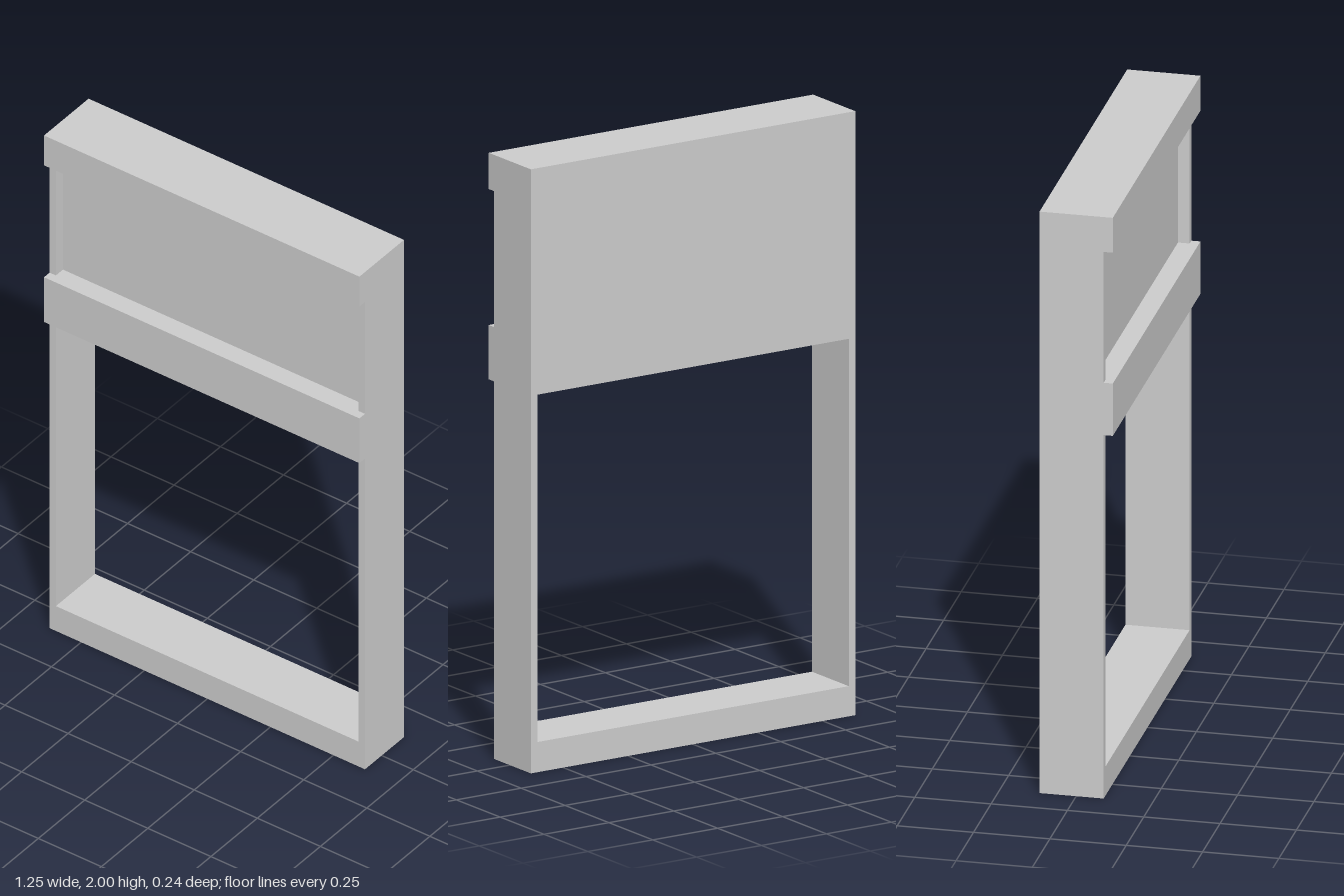
import * as THREE from 'three';

const material = new THREE.MeshStandardMaterial({ color: 0xcccccc, flatShading: true });

const HALF_W = 0.625, INNER = 0.6;
const BACK = -0.12, FRAME_FRONT = 0.09, BAND_FRONT = 0.12, PANEL_FRONT = 0.052;
const SILL_TOP = 0.1, LINTEL_BOTTOM = 1.25, LINTEL_TOP = 1.43, HEAD_BOTTOM = 1.88, TOP = 2;

// Traces a rectangle centred on x = 0
function rect(path, halfWidth, y0, y1) {
  path.moveTo(-halfWidth, y0);
  path.lineTo(halfWidth, y0);
  path.lineTo(halfWidth, y1);
  path.lineTo(-halfWidth, y1);
  path.closePath();
  return path;
}

// Box given by its limits in y and z
function slab(name, halfWidth, y0, y1, z0, z1) {
  const mesh = new THREE.Mesh(new THREE.BoxGeometry(halfWidth * 2, y1 - y0, z1 - z0), material);
  mesh.position.set(0, (y0 + y1) / 2, (z0 + z1) / 2);
  mesh.name = name;
  return mesh;
}

export function createModel() {
  const model = new THREE.Group();
  model.name = 'windowFrame';

  // Frame with an open lower bay and an upper bay for the panel
  const outline = rect(new THREE.Shape(), HALF_W, 0, TOP);
  outline.holes.push(
    rect(new THREE.Path(), INNER, SILL_TOP, LINTEL_BOTTOM),
    rect(new THREE.Path(), INNER, LINTEL_TOP, HEAD_BOTTOM)
  );
  const frame = new THREE.Mesh(
    new THREE.ExtrudeGeometry(outline, { depth: FRAME_FRONT - BACK, bevelEnabled: false }),
    material
  );
  frame.position.z = BACK;
  frame.name = 'frame';
  model.add(frame);

  // Recessed panel, flush with the back
  model.add(slab('recessedPanel', INNER, LINTEL_TOP, HEAD_BOTTOM, BACK, PANEL_FRONT));

  // Raised bands across the front
  model.add(slab('lintelBand', HALF_W, LINTEL_BOTTOM, LINTEL_TOP, FRAME_FRONT, BAND_FRONT));
  model.add(slab('headBand', HALF_W, HEAD_BOTTOM, TOP, FRAME_FRONT, BAND_FRONT));

  return model;
}
